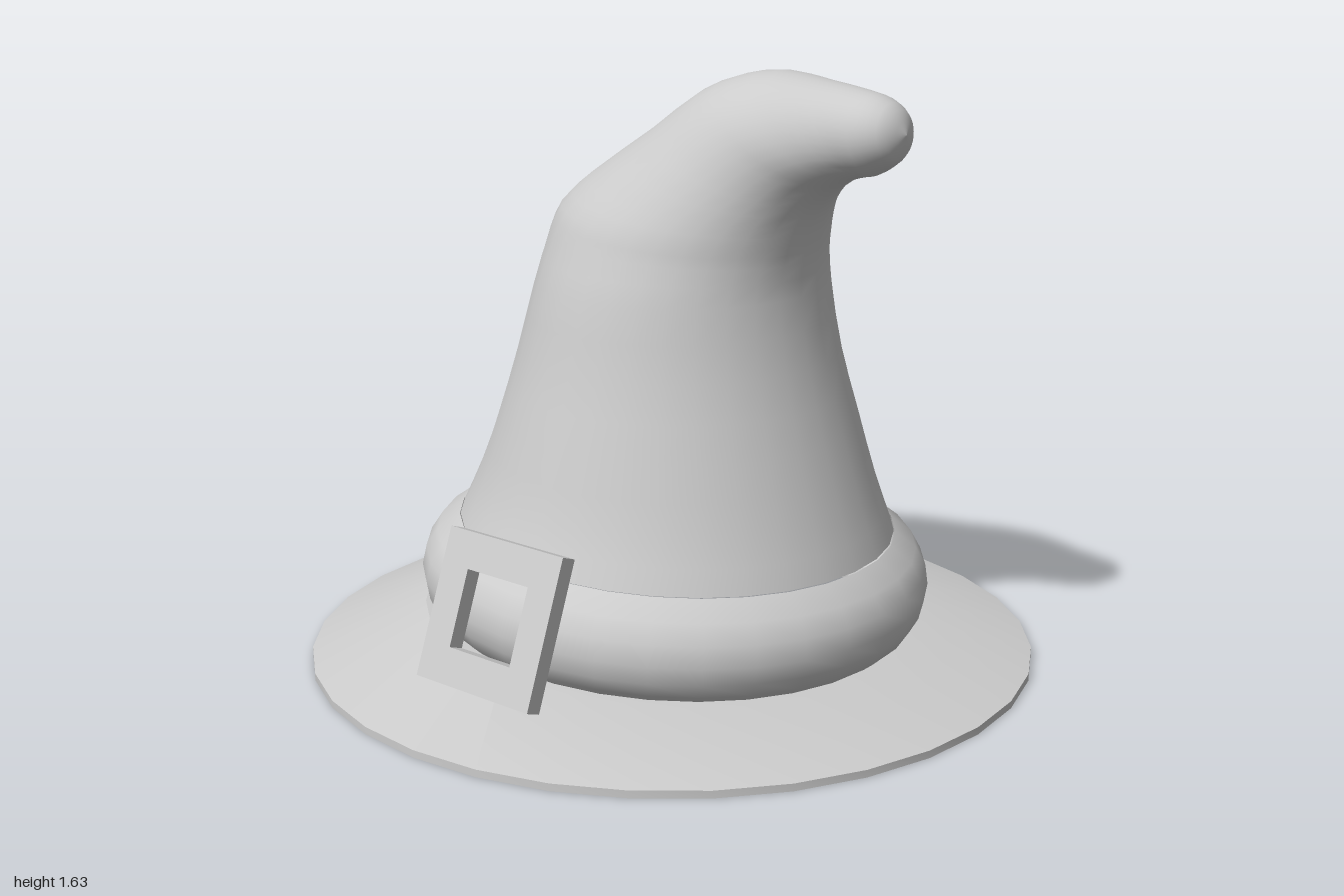
import * as THREE from 'three';
import { toCreasedNormals } from 'three/addons/utils/BufferGeometryUtils.js';

const TILT = 0.055; // the crown and band lean slightly to the hat's left
const material = new THREE.MeshStandardMaterial({ color: 0xcccccc, side: THREE.DoubleSide });

function addMesh(group, name, geometry) {
  const mesh = new THREE.Mesh(geometry, material);
  mesh.name = name;
  group.add(mesh);
  return mesh;
}

function lathe(points, segments) {
  return new THREE.LatheGeometry(points.map(([r, y]) => new THREE.Vector2(r, y)), segments);
}

// Flat-edged brim whose inner rings follow the lean of the band
function brimGeometry() {
  const geometry = lathe([[0.57, 0.1], [0.69, 0.1], [1, 0], [1, 0.02], [0.685, 0.118], [0.57, 0.118], [0.57, 0.1]], 32);
  const pos = geometry.attributes.position;
  for (let i = 0; i < pos.count; i++) {
    const x = pos.getX(i), r = Math.hypot(x, pos.getZ(i));
    if (r < 0.9) pos.setY(i, pos.getY(i) - TILT * x);
  }
  return toCreasedNormals(geometry, 0.3);
}

// Bent crown: each section spans a left point, a right point and a half depth
function crownGeometry() {
  const sections = [
    // left x, left y, right x, right y, half depth
    [-0.575, 0.412, 0.615, 0.345, 0.6],
    [-0.52, 0.53, 0.57, 0.48, 0.55],
    [-0.46, 0.68, 0.515, 0.66, 0.505],
    [-0.40, 0.87, 0.46, 0.86, 0.45],
    [-0.35, 1.05, 0.43, 1.05, 0.41],
    [-0.315, 1.19, 0.435, 1.14, 0.37],
    [-0.28, 1.265, 0.445, 1.19, 0.35],
    [-0.20, 1.335, 0.46, 1.24, 0.315],
    [0.00, 1.47, 0.485, 1.29, 0.255],
    [0.14, 1.57, 0.52, 1.33, 0.215],
    [0.25, 1.612, 0.555, 1.355, 0.19],
    [0.36, 1.628, 0.585, 1.37, 0.16],
    [0.50, 1.612, 0.62, 1.38, 0.125],
    [0.62, 1.595, 0.65, 1.386, 0.107],
    [0.67, 1.583, 0.69, 1.408, 0.092],
    [0.715, 1.555, 0.72, 1.435, 0.062],
    [0.738, 1.495, 0.738, 1.495, 0],
  ];
  const left = new THREE.CatmullRomCurve3(sections.map(s => new THREE.Vector3(s[0], s[1], s[4])));
  const right = new THREE.CatmullRomCurve3(sections.map(s => new THREE.Vector3(s[2], s[3], s[4])));
  const rows = (sections.length - 1) * 2, sides = 32;
  const positions = [], index = [];
  for (let j = 0; j <= rows; j++) {
    const l = left.getPoint(j / rows), r = right.getPoint(j / rows);
    for (let i = 0; i < sides; i++) {
      const a = (i / sides) * Math.PI * 2, c = Math.cos(a);
      positions.push(
        (l.x + r.x) / 2 + ((r.x - l.x) / 2) * c,
        (l.y + r.y) / 2 + ((r.y - l.y) / 2) * c,
        l.z * Math.sin(a),
      );
      if (j === rows) continue;
      const p = j * sides + i, q = j * sides + (i + 1) % sides;
      index.push(p, p + sides, q);
      if (j < rows - 1) index.push(q, p + sides, q + sides);
    }
  }
  const geometry = new THREE.BufferGeometry();
  geometry.setAttribute('position', new THREE.Float32BufferAttribute(positions, 3));
  geometry.setIndex(index);
  geometry.computeVertexNormals();
  return geometry;
}

function rectangle(Type, w, h) {
  return new Type([[-w, -h], [w, -h], [w, h], [-w, h]].map(([x, y]) => new THREE.Vector2(x, y)));
}

// Square frame with a window, centred on its thickness
function buckleGeometry() {
  const frame = rectangle(THREE.Shape, 0.195, 0.197);
  frame.holes.push(rectangle(THREE.Path, 0.105, 0.102));
  const geometry = new THREE.ExtrudeGeometry(frame, { depth: 0.046, bevelEnabled: false });
  return geometry.translate(0, 0, -0.023);
}

export function createModel() {
  const hat = new THREE.Group();
  hat.name = 'pointedHat';

  addMesh(hat, 'brim', brimGeometry());
  addMesh(hat, 'crown', crownGeometry());

  // Rounded hat band
  const band = addMesh(hat, 'band', toCreasedNormals(lathe([
    [0.57, 0.1], [0.63, 0.105], [0.67, 0.14], [0.69, 0.18],
    [0.70, 0.23], [0.69, 0.285], [0.66, 0.335], [0.60, 0.378],
  ], 32), 0.45));
  band.rotation.z = -TILT;

  // Buckle leaning back against the band
  const buckle = addMesh(hat, 'buckle', buckleGeometry());
  buckle.position.set(0, 0.278, 0.708);
  buckle.rotation.x = -0.36;

  return hat;
}
